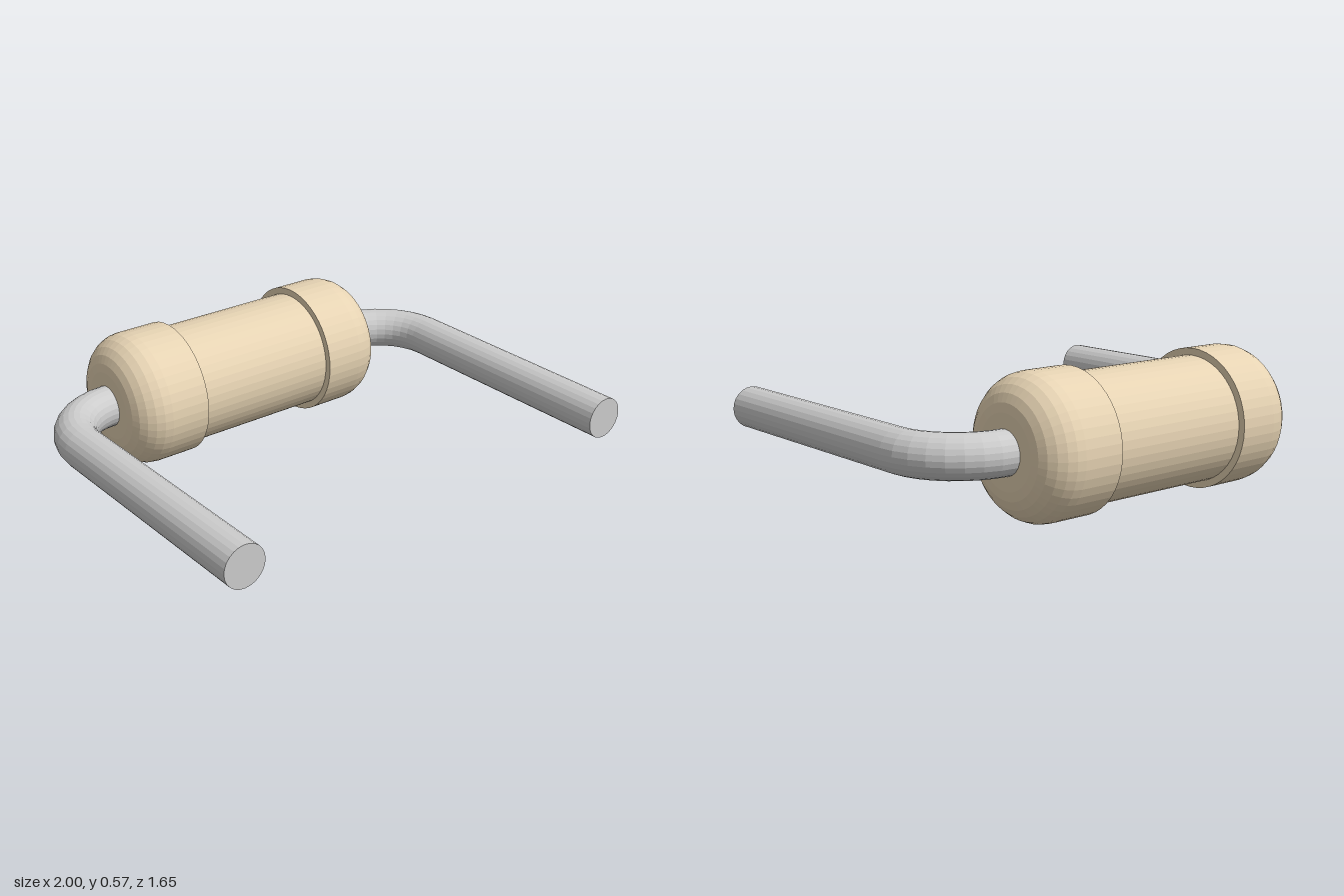
import * as THREE from 'three';
import { mergeGeometries } from 'three/addons/utils/BufferGeometryUtils.js';

const AXIS_Y = 0.287, AXIS_Z = -0.54;   // body axis
const WIRE_R = 0.0875, BEND_R = 0.2725; // lead wire and its bend
const END_X = 0.64, FRONT_Z = 0.82;

const bodyMaterial = new THREE.MeshStandardMaterial({ color: 0xe6d3b3, flatShading: true });
const leadMaterial = new THREE.MeshStandardMaterial({ color: 0xd2d3cf, flatShading: true });

// Ceramic body: narrow barrel between two rounded end caps
function createBody() {
  const capR = 0.286, barrelR = 0.257, capX = 0.325, fillet = 0.14, steps = 6;
  const half = [new THREE.Vector2(barrelR, capX), new THREE.Vector2(capR, capX)];
  for (let i = 0; i <= steps; i++) {
    const a = (i / steps) * Math.PI / 2;
    half.push(new THREE.Vector2(capR - fillet + fillet * Math.cos(a), END_X - fillet + fillet * Math.sin(a)));
  }
  half.push(new THREE.Vector2(0, END_X));
  const mirrored = half.map(p => new THREE.Vector2(p.x, -p.y)).reverse();
  const geometry = new THREE.LatheGeometry([...mirrored, ...half], 48).rotateZ(-Math.PI / 2);
  const body = new THREE.Mesh(geometry, bodyMaterial);
  body.name = 'body';
  body.position.set(0, AXIS_Y, AXIS_Z);
  return body;
}

// Lead wire: quarter bend out of the end cap, then a straight run forward
function createLead(side) {
  const bendZ = AXIS_Z + BEND_R, length = FRONT_Z - bendZ;
  const bend = new THREE.TorusGeometry(BEND_R, WIRE_R, 24, 8, Math.PI / 2);
  if (side < 0) bend.rotateZ(Math.PI / 2);
  bend.rotateX(-Math.PI / 2).translate(side * END_X, 0, bendZ);
  const run = new THREE.CylinderGeometry(WIRE_R, WIRE_R, length, 24)
    .rotateX(Math.PI / 2)
    .translate(side * (END_X + BEND_R), 0, bendZ + length / 2);
  const lead = new THREE.Mesh(mergeGeometries([bend, run]), leadMaterial);
  lead.name = side > 0 ? 'leftLead' : 'rightLead';
  lead.position.y = AXIS_Y;
  return lead;
}

export function createModel() {
  const model = new THREE.Group();
  model.name = 'resistor';
  model.add(createBody(), createLead(1), createLead(-1));
  return model;
}
